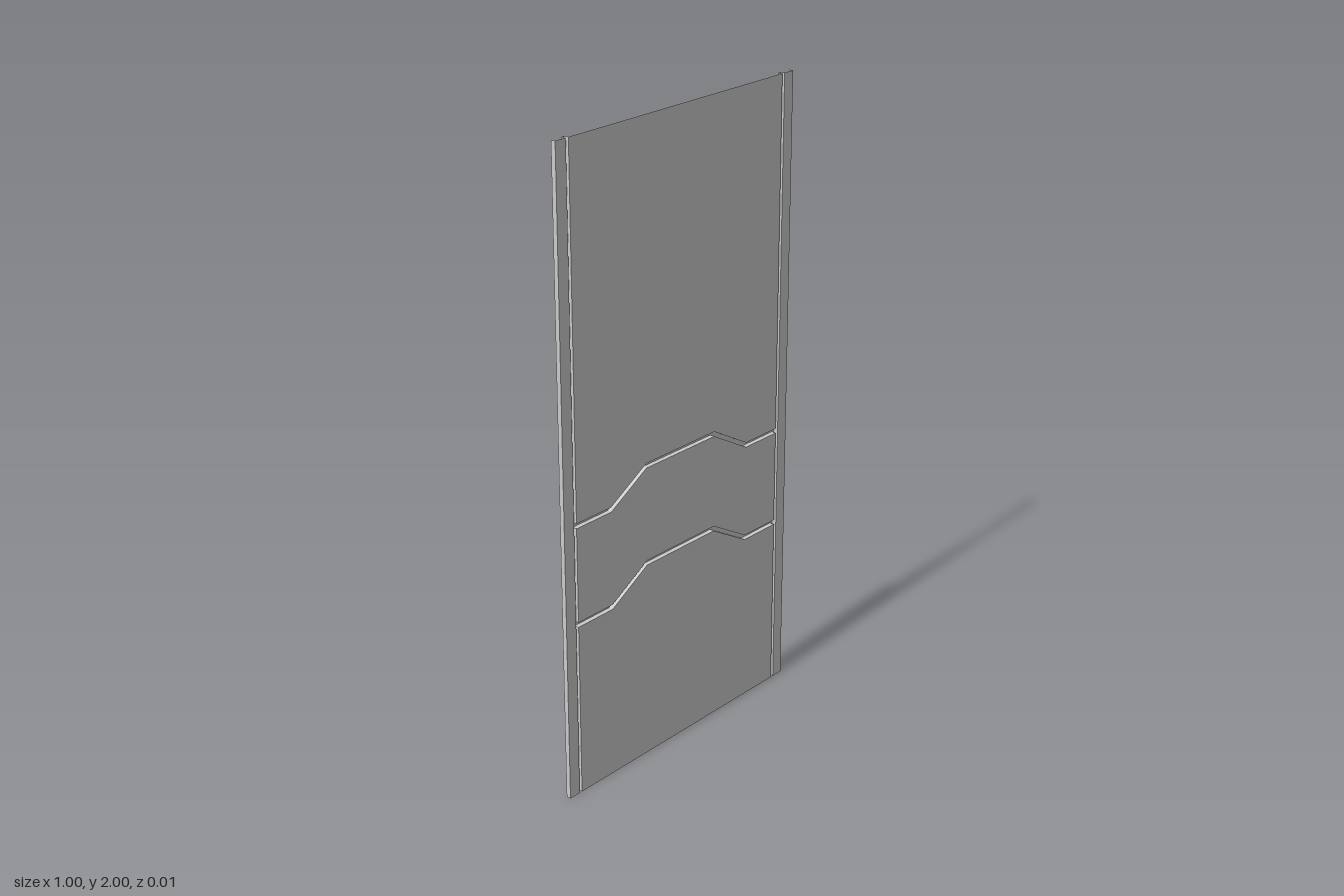
import * as THREE from 'three';

const FRONT = 0.0075, BACK = -0.0075; // sheet plane and groove floor
const GROOVE = 0.015;                 // height of the horizontal grooves
const INNER = 0.45, OUTER = 0.46, EDGE = 0.5;

const material = new THREE.MeshStandardMaterial({
  color: 0xcccccc, side: THREE.DoubleSide, flatShading: true });

// Flat-shaded sheet joining two rows of points (a below or left, b above or right)
function sheet(name, a, b) {
  const pos = [];
  for (let i = 0; i < a.length - 1; i++) {
    pos.push(...a[i], ...a[i + 1], ...b[i + 1], ...a[i], ...b[i + 1], ...b[i]);
  }
  const g = new THREE.BufferGeometry();
  g.setAttribute('position', new THREE.Float32BufferAttribute(pos, 3));
  g.computeVertexNormals();
  const mesh = new THREE.Mesh(g, material);
  mesh.name = name;
  return mesh;
}

// Row across the panel, stepping up in the middle by the given rise
const row = (y, z, rise = 0.086) => [
  [-INNER, y, z], [-0.305, y, z], [-0.153, y + rise, z],
  [0.153, y + rise, z], [0.305, y, z], [INNER, y, z]];

export function createModel() {
  const model = new THREE.Group();
  model.name = 'doorPanel';

  // Three panel fields separated by the stepped grooves
  const grooves = [0.553, 0.867];
  let lower = row(0, FRONT, 0);
  for (const y of grooves) {
    model.add(sheet('panelField', lower, row(y, FRONT)));
    const groove = new THREE.Group();
    groove.name = 'steppedGroove';
    const top = y + GROOVE;
    groove.add(
      sheet('grooveLowerWall', row(y, FRONT), row(y, BACK)),
      sheet('grooveFloor', row(y, BACK), row(top, BACK)),
      sheet('grooveUpperWall', row(top, BACK), row(top, FRONT)));
    model.add(groove);
    lower = row(top, FRONT);
  }
  model.add(sheet('panelField', lower, row(2, FRONT, 0)));

  // Side profiles: inner wall, groove floor, outer wall, margin strip, edge lip
  for (const side of [-1, 1]) {
    const profile = new THREE.Group();
    profile.name = side > 0 ? 'leftProfile' : 'rightProfile';
    const pts = [[INNER, FRONT], [INNER, BACK], [OUTER, BACK],
      [OUTER, FRONT], [EDGE, FRONT], [EDGE, BACK]].map(([x, z]) => [x * side, z]);
    if (side < 0) pts.reverse();
    // The inner wall is interrupted where the horizontal grooves run in
    const wall = [0, ...grooves.flatMap(y => [y, y + GROOVE]), 2];
    for (let i = 0; i < pts.length - 1; i++) {
      const [p, q] = [pts[i], pts[i + 1]];
      const isInner = Math.abs(p[0]) === INNER && Math.abs(q[0]) === INNER;
      const spans = isInner ? wall : [0, 2];
      for (let k = 0; k < spans.length; k += 2) {
        const at = y => [[p[0], y, p[1]], [q[0], y, q[1]]];
        profile.add(sheet('profileFace', at(spans[k]), at(spans[k + 1])));
      }
    }
    model.add(profile);
  }
  return model;
}
